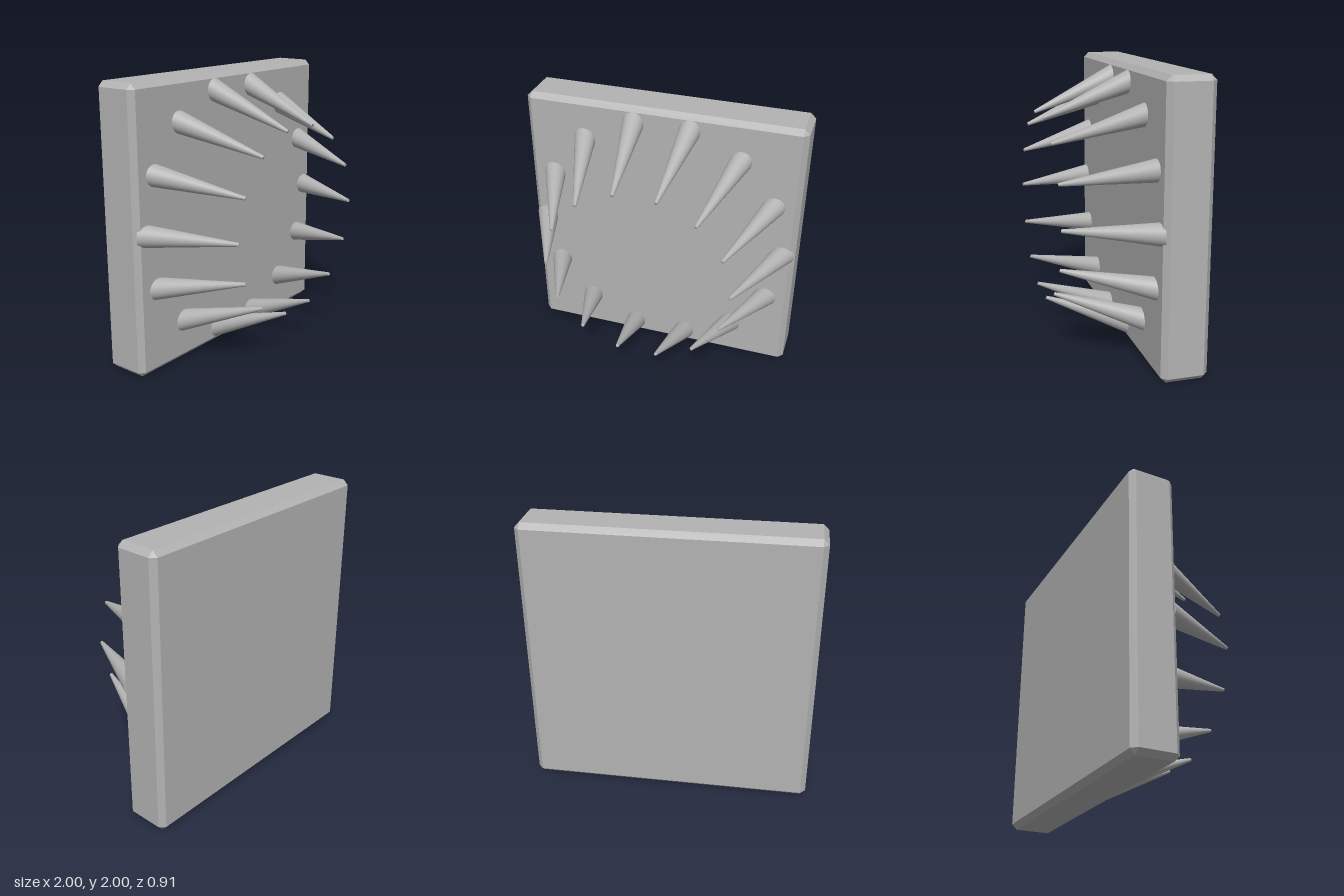
import * as THREE from 'three';
import { ConvexGeometry } from 'three/addons/geometries/ConvexGeometry.js';

// Box with every edge and corner cut by the chamfer c
function chamferBox(w, h, d, c) {
  const points = [];
  for (const x of [-w / 2, w / 2]) for (const y of [-h / 2, h / 2]) for (const z of [-d / 2, d / 2]) {
    const ix = x - Math.sign(x) * c, iy = y - Math.sign(y) * c, iz = z - Math.sign(z) * c;
    points.push(new THREE.Vector3(x, iy, iz), new THREE.Vector3(ix, y, iz), new THREE.Vector3(ix, iy, z));
  }
  return new ConvexGeometry(points);
}

export function createModel() {
  const model = new THREE.Group();
  model.name = 'spikedPanel';
  const grey = new THREE.MeshStandardMaterial({ color: 0xb3b3b3 });
  grey.name = 'grey';

  // Square back panel
  const panel = new THREE.Mesh(chamferBox(2, 2, 0.325, 0.037), grey);
  panel.name = 'panel';
  panel.position.set(0, 1, -0.2925);
  model.add(panel);

  // Ring of tapered spikes leaning in towards the middle
  const count = 14;
  const base = new THREE.Vector2(0.918, -0.17); // radius from centre, z
  const tip = new THREE.Vector2(0.665, 0.45);
  const length = base.distanceTo(tip);
  const lean = Math.atan2(base.x - tip.x, tip.y - base.y);
  const spikeGeometry = new THREE.CylinderGeometry(0.012, 0.08, length, 32);
  spikeGeometry.rotateX(Math.PI / 2);
  spikeGeometry.rotateY(-lean);
  spikeGeometry.translate((base.x + tip.x) / 2, 0, (base.y + tip.y) / 2);

  const ring = new THREE.Group();
  ring.name = 'spikeRing';
  ring.position.y = 1;
  for (let i = 0; i < count; i++) {
    const spike = new THREE.Mesh(spikeGeometry, grey);
    spike.name = `spike${i + 1}`;
    spike.rotation.z = (i / count) * Math.PI * 2;
    ring.add(spike);
  }
  model.add(ring);
  return model;
}
